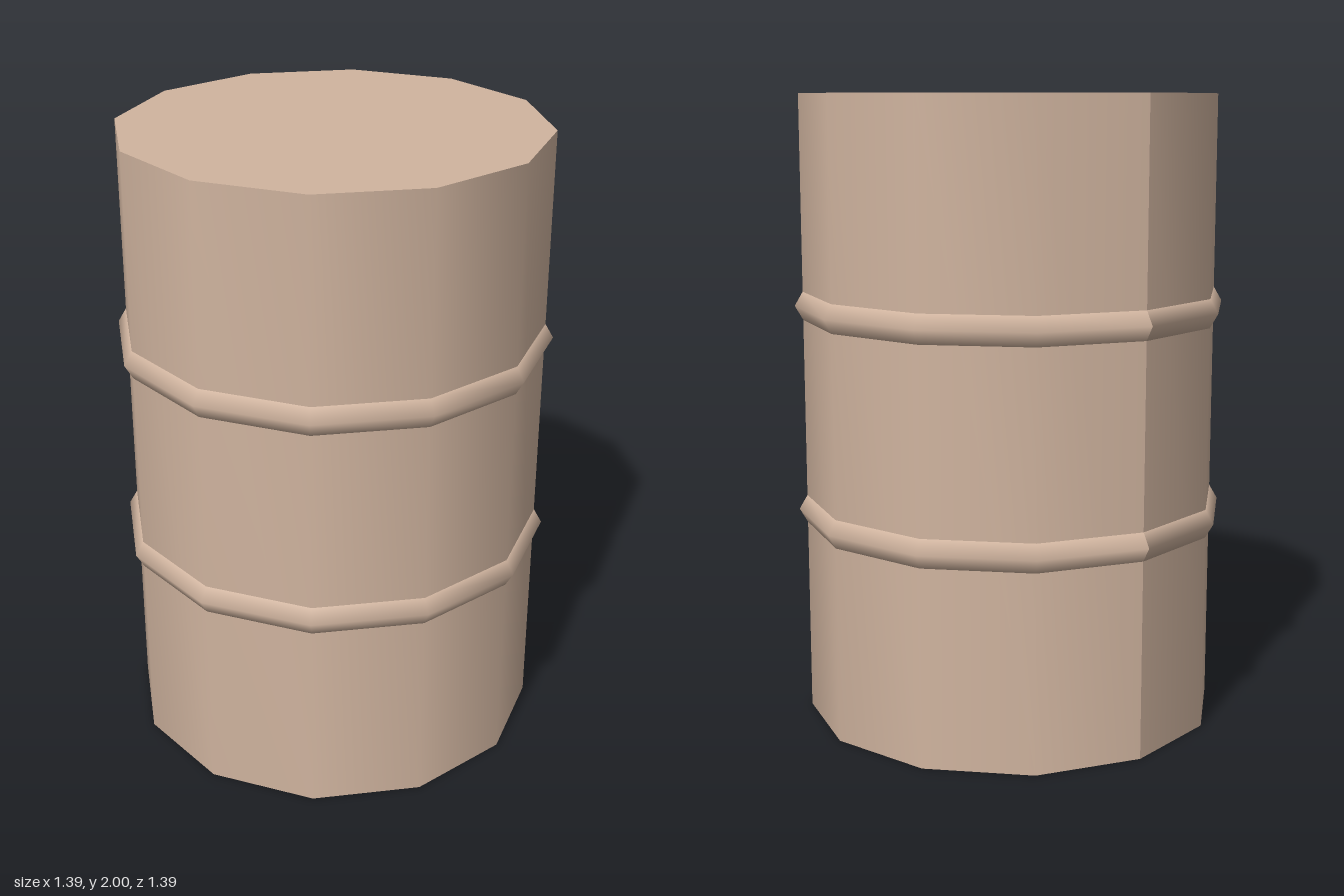
import * as THREE from 'three';

const SIDES = 12;
const RADIUS = 0.667;
const HEIGHT = 2;
const SEAM = (150 * Math.PI) / 180; // the one vertical edge with a hard crease

// Twelve-sided lathe, smooth all round except along the seam
function turned(profile) {
  const points = profile.map(([r, y]) => new THREE.Vector2(r, y));
  const geometry = new THREE.LatheGeometry(points, SIDES, SEAM);
  geometry.computeVertexNormals();
  return geometry;
}

export function createModel() {
  const drum = new THREE.Group();
  drum.name = 'drum';
  const material = new THREE.MeshStandardMaterial({ color: 0xd0b49f });

  const add = (name, geometry, y = 0) => {
    const mesh = new THREE.Mesh(geometry, material);
    mesh.name = name;
    mesh.position.y = y;
    drum.add(mesh);
    return mesh;
  };

  // Wall
  add('wall', turned([[RADIUS, 0], [RADIUS, HEIGHT]]));

  // Flat lid and base
  const disc = new THREE.CircleGeometry(RADIUS, SIDES);
  add('lid', disc, HEIGHT).rotation.x = -Math.PI / 2;
  add('base', disc).rotation.x = Math.PI / 2;

  // Rolling hoops: hexagonal section, partly sunk into the wall
  const tube = 0.053;
  const section = [-120, -60, 0, 60, 120].map((deg) => {
    const a = THREE.MathUtils.degToRad(deg);
    return [0.64 + tube * Math.cos(a), tube * Math.sin(a)];
  });
  const hoop = turned(section);
  add('lowerHoop', hoop, 0.67);
  add('upperHoop', hoop, 1.335);

  return drum;
}
